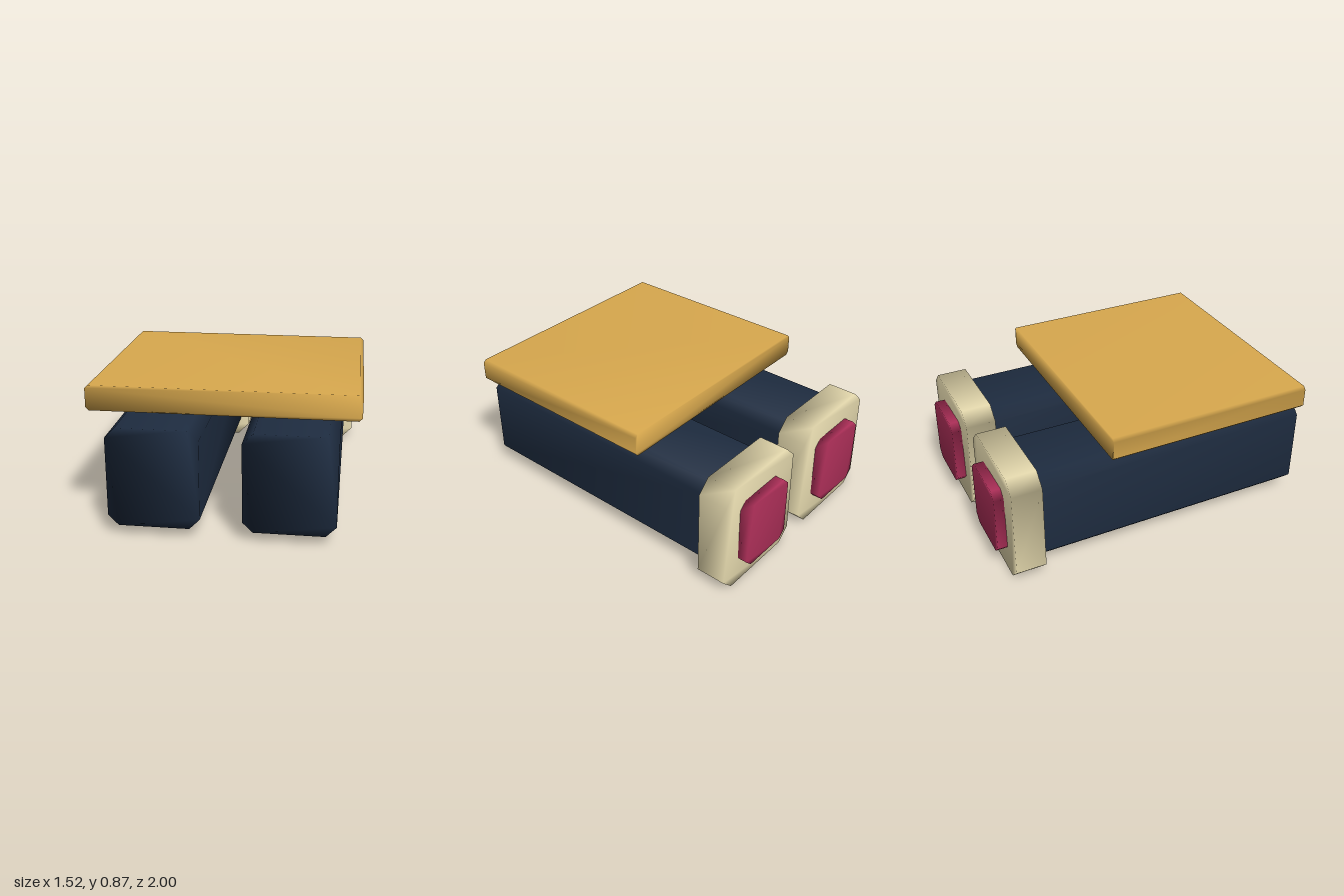
import * as THREE from 'three';
import { mergeVertices } from 'three/addons/utils/BufferGeometryUtils.js';

const navy = new THREE.MeshStandardMaterial({ color: 0x1e2c40 });
const cream = new THREE.MeshStandardMaterial({ color: 0xe8dcb0 });
const crimson = new THREE.MeshStandardMaterial({ color: 0xb0305a });
const gold = new THREE.MeshStandardMaterial({ color: 0xd9a94e });

// Box with chamfered long edges, running along z, with shared smooth normals
function chamferedBar(name, material, x0, x1, y0, y1, z0, z1, c) {
  const shape = new THREE.Shape([
    [x0 + c, y0], [x1 - c, y0], [x1, y0 + c], [x1, y1 - c],
    [x1 - c, y1], [x0 + c, y1], [x0, y1 - c], [x0, y0 + c],
  ].map(([x, y]) => new THREE.Vector2(x, y)));
  let geometry = new THREE.ExtrudeGeometry(shape, { depth: z1 - z0, bevelEnabled: false });
  geometry.translate(0, 0, z0);
  geometry.deleteAttribute('normal');
  geometry.deleteAttribute('uv');
  geometry = mergeVertices(geometry);
  geometry.computeVertexNormals();
  const mesh = new THREE.Mesh(geometry, material);
  mesh.name = name;
  return mesh;
}

export function createModel() {
  const model = new THREE.Group();
  model.name = 'twinPods';

  // Two identical pods: long body, rear collar and coloured end plate
  for (const side of [-1, 1]) {
    const pod = new THREE.Group();
    pod.name = side > 0 ? 'leftPod' : 'rightPod';
    pod.add(
      chamferedBar('body', navy, -0.263, 0.263, 0.06, 0.645, -0.76, 1, 0.06),
      chamferedBar('collar', cream, -0.323, 0.323, 0, 0.705, -0.94, -0.755, 0.078),
      chamferedBar('endPlate', crimson, -0.19, 0.19, 0.135, 0.573, -1, -0.935, 0.045),
    );
    pod.position.x = side * 0.382;
    model.add(pod);
  }

  // Flat slab floating just above the pods
  model.add(chamferedBar('topSlab', gold, -0.76, 0.76, 0.72, 0.865, -0.345, 0.94, 0.018));
  return model;
}
